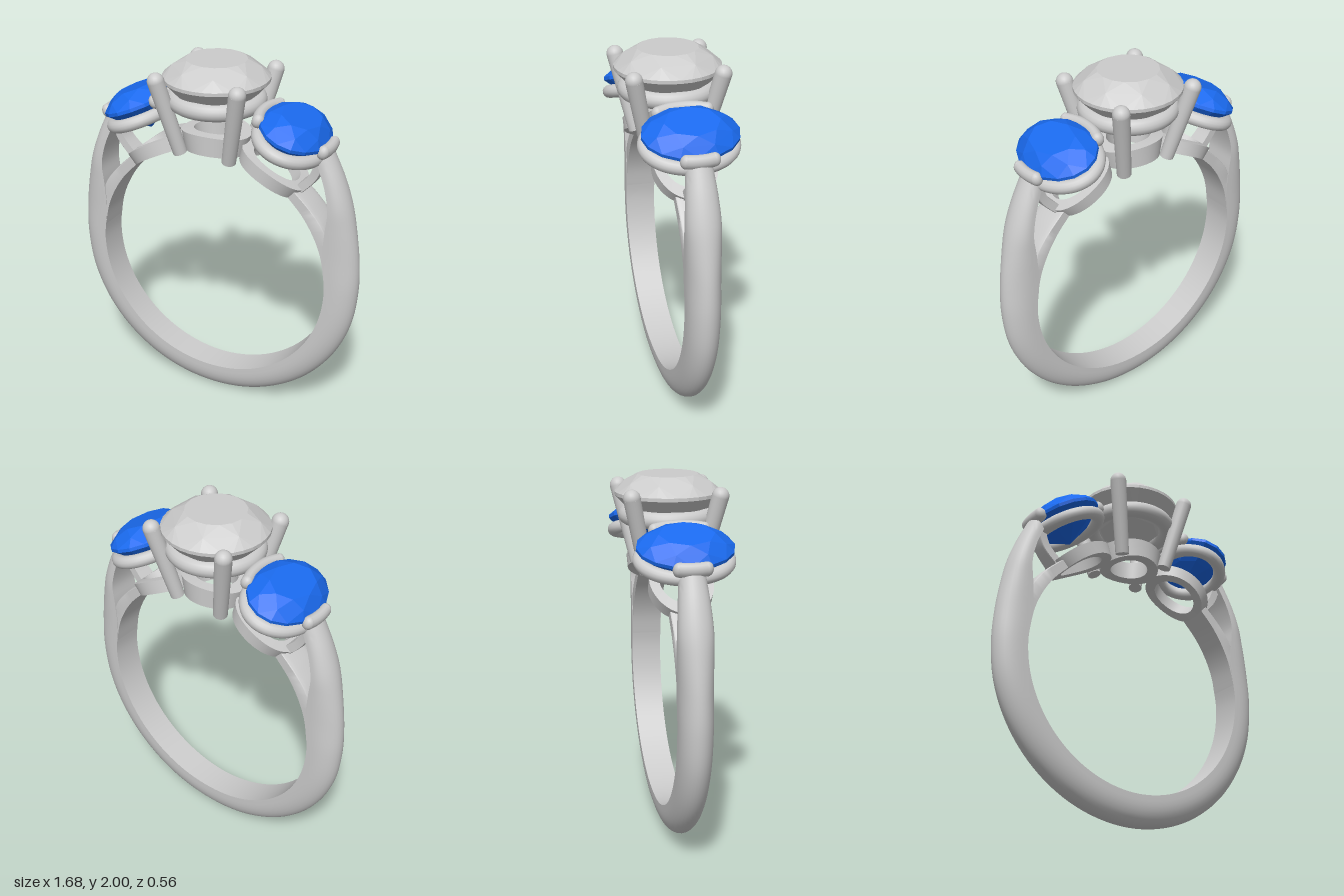
import * as THREE from 'three';
import { toCreasedNormals } from 'three/addons/utils/BufferGeometryUtils.js';
import { ConvexGeometry } from 'three/addons/geometries/ConvexGeometry.js';

const metal = new THREE.MeshStandardMaterial({ color: 0xcccccc });
const clear = new THREE.MeshStandardMaterial({ color: 0xcccccc, flatShading: true });
const blue = new THREE.MeshStandardMaterial({ color: 0x1a6aee, flatShading: true });

const CY = 0.84, R = 0.68; // finger hole centre and radius

function add(parent, name, geometry, material = metal) {
  const mesh = new THREE.Mesh(geometry, material);
  mesh.name = name;
  parent.add(mesh);
  return mesh;
}

// Point at an angle measured clockwise from the top of the finger hole
function polar(r, deg) {
  const a = THREE.MathUtils.degToRad(deg);
  return [r * Math.sin(a), CY + r * Math.cos(a)];
}

// Solid swept through stations { i: inner point, o: outer point, w: half width };
// t0 is the share of the depth with straight walls before the outside rounds over
function sweep(stations, t0) {
  const section = [[0, -1]];
  for (let k = 0; k <= 16; k++) {
    const a = -Math.PI / 2 + (Math.PI * k) / 16;
    section.push([t0 + (1 - t0) * Math.cos(a), Math.sin(a)]);
  }
  section.push([0, 1]);
  const n = section.length, pos = [], idx = [];
  for (const { i, o, w } of stations) {
    for (const [t, z] of section) pos.push(i[0] + (o[0] - i[0]) * t, i[1] + (o[1] - i[1]) * t, z * w);
  }
  for (let s = 0; s < stations.length - 1; s++) {
    for (let j = 0; j < n; j++) {
      const a = s * n + j, b = s * n + ((j + 1) % n);
      idx.push(a, b, a + n, b, b + n, a + n);
    }
  }
  const last = (stations.length - 1) * n;
  for (let j = 1; j < n - 1; j++) idx.push(0, j + 1, j, last, last + j, last + j + 1);
  const g = new THREE.BufferGeometry();
  g.setAttribute('position', new THREE.Float32BufferAttribute(pos, 3));
  g.setIndex(idx);
  return toCreasedNormals(g, 0.7);
}

// Smooth stations from a few rows of [innerX, innerY, outerX, outerY, halfWidth]
function smoothStations(rows, steps) {
  const inner = new THREE.CatmullRomCurve3(rows.map(r => new THREE.Vector3(r[0], r[1], r[4])));
  const outer = new THREE.CatmullRomCurve3(rows.map(r => new THREE.Vector3(r[2], r[3], 0)));
  return Array.from({ length: steps + 1 }, (_, k) => {
    const p = inner.getPoint(k / steps), q = outer.getPoint(k / steps);
    return { i: [p.x, p.y], o: [q.x, q.y], w: p.z };
  });
}

// Faceted stone with its girdle at y = 0
function gem(rx, rz, crown, depth, girdleSides) {
  const pts = [new THREE.Vector3(0, -depth, 0)];
  const ring = (r, y, n, off) => {
    for (let k = 0; k < n; k++) {
      const a = ((k + off) / n) * Math.PI * 2;
      pts.push(new THREE.Vector3(rx * r * Math.cos(a), y, rz * r * Math.sin(a)));
    }
  };
  ring(0.57, crown, girdleSides / 2, 0);
  ring(0.82, crown * 0.6, 8, 0.5);
  ring(1, 0.006, girdleSides, 0);
  ring(1, -0.012, girdleSides, 0);
  ring(0.6, -depth * 0.56, 8, 0.5);
  return new ConvexGeometry(pts);
}

// Flat ring wrapped around the finger hole
function collar(deg, halfX, halfZ, wall, height) {
  const prof = [[halfZ - wall, 0], [halfZ, 0], [halfZ, height], [halfZ - wall, height], [halfZ - wall, 0]];
  const g = new THREE.LatheGeometry(prof.map(p => new THREE.Vector2(...p)), 48);
  const p = g.attributes.position;
  for (let k = 0; k < p.count; k++) {
    const a = THREE.MathUtils.radToDeg((p.getX(k) * halfX) / halfZ / 0.71);
    const [x, y] = polar(R + p.getY(k), deg + a);
    p.setXY(k, x, y);
  }
  return toCreasedNormals(g, 0.7);
}

// Round-ended bar following part of an ellipse
function gripBar(parent, name, rx, rz, mid, half, r) {
  const bar = new THREE.Group();
  bar.name = name;
  const at = a => new THREE.Vector3(rx * Math.cos(a), 0, rz * Math.sin(a));
  const curve = new THREE.CatmullRomCurve3([-1, -0.5, 0, 0.5, 1].map(s => at(mid + s * half)));
  add(bar, 'gripBarBody', new THREE.TubeGeometry(curve, 20, r, 14));
  for (const s of [-1, 1]) {
    add(bar, 'gripBarEnd', new THREE.SphereGeometry(r, 14, 10)).position.copy(at(mid + s * half));
  }
  bar.scale.y = 1.2;
  bar.position.y = -0.005;
  parent.add(bar);
}

function sideSetting() {
  const side = new THREE.Group();

  // Oval stone, tilted outwards, with its basket
  const head = new THREE.Group();
  head.name = 'sideHead';
  head.position.set(0.455, 1.7, 0);
  head.rotation.z = -0.37;
  add(head, 'sideStone', gem(0.187, 0.25, 0.078, 0.16, 16), blue);
  const oval = new THREE.CatmullRomCurve3(Array.from({ length: 16 }, (_, k) => {
    const a = (k / 16) * Math.PI * 2;
    return new THREE.Vector3(0.168 * Math.cos(a), -0.075, 0.226 * Math.sin(a));
  }), true);
  add(head, 'sideBasketRing', new THREE.TubeGeometry(oval, 64, 0.036, 14, true));
  gripBar(head, 'outerGrip', 0.197, 0.26, 0, 0.27, 0.032);
  gripBar(head, 'innerGrip', 0.192, 0.26, Math.PI, 0.52, 0.032);
  side.add(head);

  // Lower collar, inner shoulder branch and strut
  add(side, 'sideCollar', collar(28.5, 0.195, 0.165, 0.052, 0.072));
  const branch = [[42, 0.058], [52, 0.066], [62, 0.075], [72, 0.05], [85, 0.02]];
  add(side, 'shoulderBranch', sweep(smoothStations(
    branch.map(([d, h]) => [...polar(R, d), ...polar(R + h, d), 0.085]), 24), 0.85));
  add(side, 'shoulderStrut', sweep(smoothStations([
    [0.59, 1.58, 0.635, 1.555, 0.05],
    [0.55, 1.475, 0.59, 1.45, 0.045],
    [0.475, 1.395, 0.51, 1.36, 0.05],
  ], 12), 0.9));
  return side;
}

export function createModel() {
  const ring = new THREE.Group();
  ring.name = 'ring';

  // Band: tapering shoulders above a round lower half
  const half = [
    [0.605, 1.545, 0.655, 1.625, 0.07],
    [0.652, 1.43, 0.727, 1.47, 0.082],
    [0.677, 1.31, 0.775, 1.335, 0.09],
    [0.668, 1.2, 0.806, 1.2, 0.09],
    [0.66, 1.03, 0.832, 1.03, 0.088],
  ];
  for (let d = 90; d < 180; d += 15) half.push([...polar(R, d), ...polar(0.84, d), 0.087 - (d - 90) * 0.00006]);
  const mirrored = half.map(([a, b, c, d, w]) => [-a, b, -c, d, w]).reverse();
  const rows = [...half, [0, 0.16, 0, 0, 0.081], ...mirrored];
  add(ring, 'band', sweep(smoothStations(rows, 132), 0.2));

  // Side settings, mirrored by a half turn
  for (const [name, turn] of [['leftSetting', 0], ['rightSetting', Math.PI]]) {
    const side = sideSetting();
    side.name = name;
    side.rotation.y = turn;
    ring.add(side);
  }

  // Centre setting
  const centre = new THREE.Group();
  centre.name = 'centreSetting';
  add(centre, 'centreStone', gem(0.282, 0.282, 0.095, 0.255, 32), clear).position.y = 1.905;
  add(centre, 'centreCollar', collar(0, 0.175, 0.165, 0.06, 0.107));
  const gallery = add(centre, 'galleryRing', new THREE.TorusGeometry(0.218, 0.046, 16, 64));
  gallery.rotation.x = Math.PI / 2;
  gallery.position.y = 1.785;
  for (const sx of [-1, 1]) {
    for (const sz of [-1, 1]) {
      const foot = new THREE.Vector3(sx * 0.143, 1.505, sz * 0.143);
      const tip = new THREE.Vector3(sx * 0.23, 1.91, sz * 0.23);
      const dir = tip.clone().sub(foot);
      const prong = add(centre, 'prong', new THREE.CylinderGeometry(0.045, 0.038, dir.length(), 20));
      prong.position.copy(foot).add(tip).multiplyScalar(0.5);
      prong.quaternion.setFromUnitVectors(new THREE.Vector3(0, 1, 0), dir.normalize());
      add(centre, 'prongTip', new THREE.SphereGeometry(0.045, 20, 14)).position.copy(tip);
    }
  }
  ring.add(centre);
  return ring;
}
